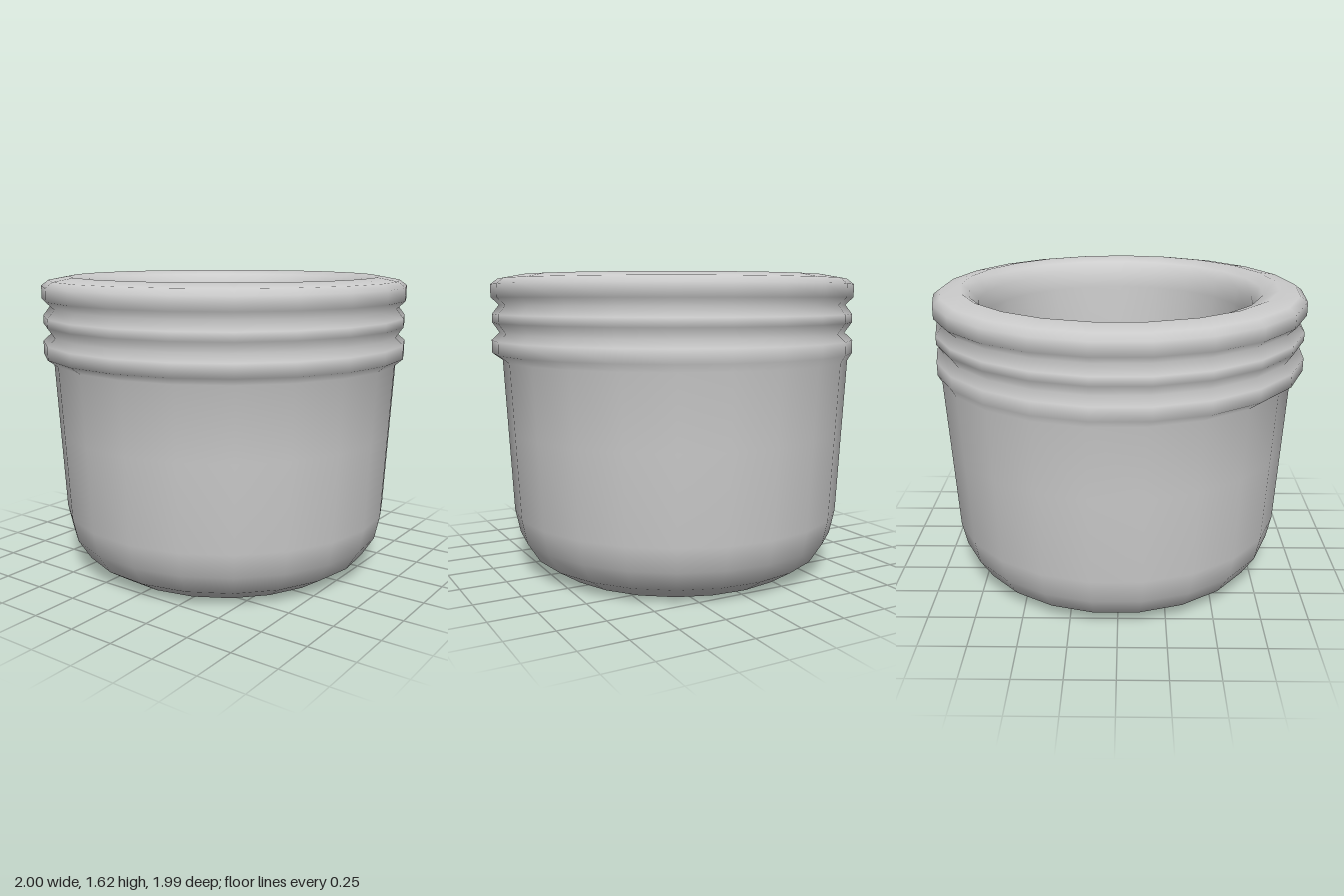
import * as THREE from 'three';
import { mergeVertices } from 'three/addons/utils/BufferGeometryUtils.js';

// Turned surface whose vertices are moved by a rule, with seamless smooth normals
function turned(profile, sides, move) {
  let geo = new THREE.LatheGeometry(profile.map(([r, y]) => new THREE.Vector2(r, y)), sides);
  const pos = geo.attributes.position;
  const v = new THREE.Vector3();
  for (let i = 0; i < pos.count; i++) {
    v.fromBufferAttribute(pos, i);
    move(v);
    pos.setXYZ(i, v.x, v.y, v.z);
  }
  geo.deleteAttribute('normal');
  geo.deleteAttribute('uv');
  geo = mergeVertices(geo, 1e-4);
  geo.computeVertexNormals();
  return geo;
}

export function createModel() {
  const group = new THREE.Group();
  const clay = new THREE.MeshStandardMaterial({ color: 0xcccccc });
  clay.name = 'lightGrey';

  // Slightly uneven angular spacing, body and mouth a touch off centre
  const uneven = (v) => {
    const r = Math.hypot(v.x, v.z);
    const base = Math.atan2(v.x, v.z) - 0.03;
    const a = base - 0.048 * (1 - Math.cos(base));
    const shift = v.y < 1.18 || r < 0.8 ? 1 : 0;
    v.x = r * Math.sin(a) + 0.02 * shift;
    v.z = r * Math.cos(a) - 0.008 * shift;
  };

  const addTurned = (name, profile, sides, move) => {
    const mesh = new THREE.Mesh(turned(profile, sides, move), clay);
    mesh.name = name;
    group.add(mesh);
  };

  // Jar: rounded foot, tapered wall, three neck rings, rolled lip, inner wall
  addTurned('jar', [
    [0, 0], [0.45, 0], [0.69, 0], [0.815, 0.08], [0.885, 0.19], [0.913, 0.32],
    [0.937, 0.78], [0.957, 1.16],
    [1, 1.2], [1, 1.27], [0.957, 1.31],
    [0.995, 1.365], [0.995, 1.41], [0.957, 1.46],
    [1, 1.5], [1, 1.57], [0.96, 1.6], [0.85, 1.62],
    [0.785, 1.595], [0.74, 1.54], [0.725, 1.45], [0.71, 1.1], [0.7, 0.8],
  ], 22, uneven);

  // Lumpy filling: a low surface with soft mounds [x, z, height, width]
  const mounds = [
    [0, -0.46, 0.34, 0.24], [-0.34, -0.12, 0.3, 0.24],
    [0.03, 0.46, 0.34, 0.24], [0.42, 0.13, 0.33, 0.24],
    [0.02, 0.03, 0.12, 0.3],
  ];
  const rings = Array.from({ length: 13 }, (_, i) => [0.715 * (1 - i / 12), 0]);
  addTurned('filling', rings, 36, (v) => {
    const edge = 1 - 0.4 * Math.pow(Math.hypot(v.x, v.z) / 0.715, 6);
    let h = 0;
    for (const [x, z, height, width] of mounds) {
      h += height * Math.exp(-((v.x - x) ** 2 + (v.z - z) ** 2) / (width * width));
    }
    v.set(v.x + 0.02, 0.93 + h * edge, v.z - 0.004);
  });

  return group;
}
